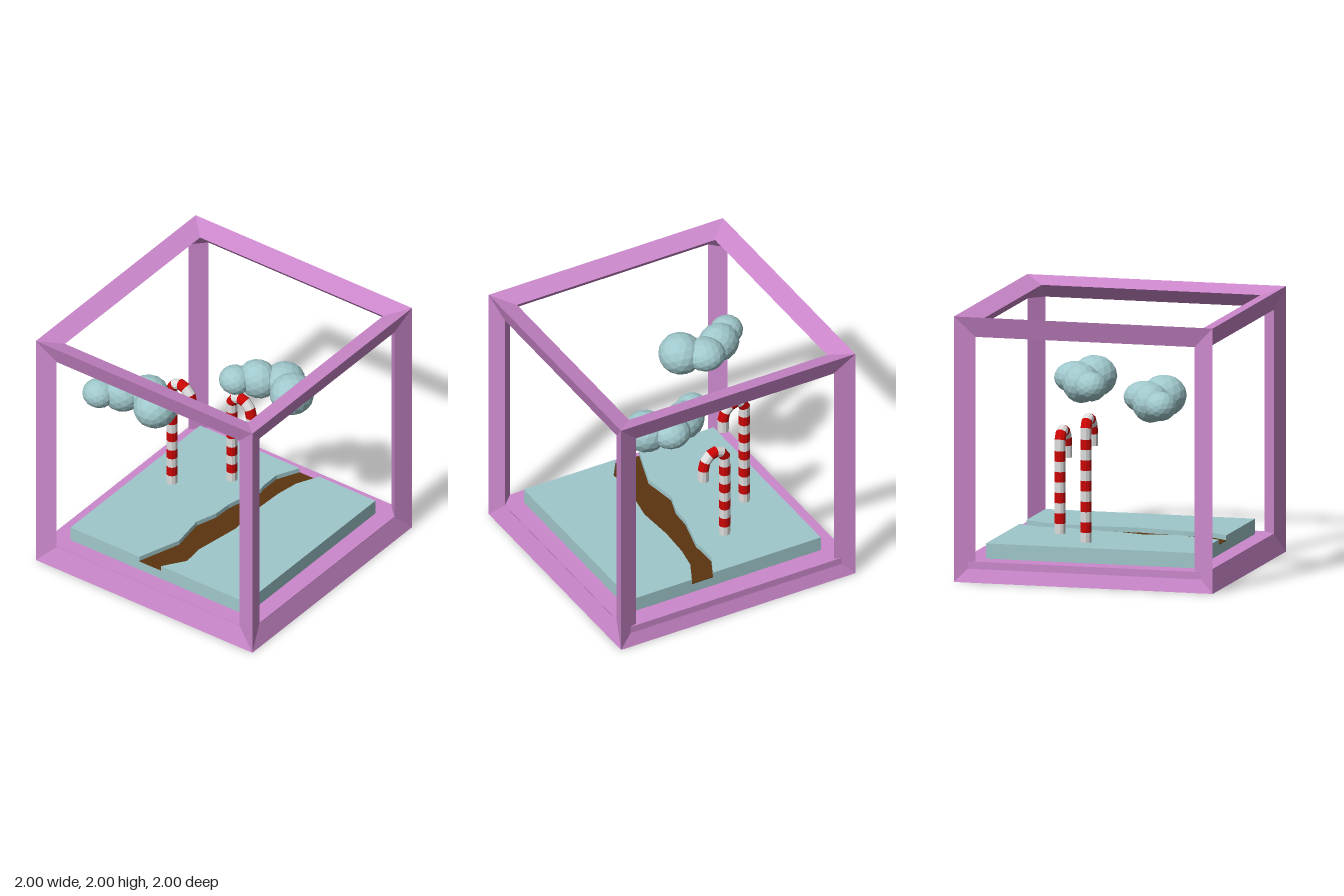
import * as THREE from 'three';

const mat = (name, color) => {
  const m = new THREE.MeshStandardMaterial({ color });
  m.name = name;
  return m;
};
const V = (x, y, z) => new THREE.Vector3(x, y, z);

// Flat-faced geometry from a list of triangles (three Vector3 each)
function fromTriangles(tris) {
  const g = new THREE.BufferGeometry().setFromPoints(tris.flat());
  g.computeVertexNormals();
  return g;
}

// Triangulates a convex face, turned so that it faces along the hint
function face(points, hint) {
  const n = points[1].clone().sub(points[0]).cross(points[2].clone().sub(points[0]));
  const p = n.dot(hint) < 0 ? [...points].reverse() : points;
  const out = [];
  for (let i = 1; i < p.length - 1; i++) out.push([p[0], p[i], p[i + 1]]);
  return out;
}

// Cube frame: twelve triangular beams with sloping outer faces
function frameGeometry() {
  const inner = 0.845, rim = 0.95, tris = [];
  const signs = [-1, 1];
  for (let a = 0; a < 3; a++) {
    const b = (a + 1) % 3, c = (a + 2) % 3;
    const at = (u, v, w) => V().set(0, 0, 0).setComponent(a, u).setComponent(b, v).setComponent(c, w);
    for (const s of signs) for (const t of signs) {
      const rail = (len, v, w) => [at(-len, s * v, t * w), at(len, s * v, t * w)];
      const [o0, o1] = rail(1, 1, 1);
      const [p0, p1] = rail(inner, rim, inner);
      const [q0, q1] = rail(inner, inner, rim);
      tris.push(...face([o0, o1, p1, p0], at(0, s, 0)));
      tris.push(...face([o0, o1, q1, q0], at(0, 0, t)));
      tris.push(...face([p0, p1, q1, q0], at(0, -s, -t)));
    }
  }
  // Inner corner triangles
  for (const x of signs) for (const y of signs) for (const z of signs) {
    tris.push(...face([
      V(x * rim, y * inner, z * inner),
      V(x * inner, y * rim, z * inner),
      V(x * inner, y * inner, z * rim),
    ], V(-x, -y, -z)));
  }
  return fromTriangles(tris);
}

// Horizontal slab with a given outline in x and z
function slab(outline, top, depth) {
  const shape = new THREE.Shape(outline.map(([x, z]) => new THREE.Vector2(x, z)));
  const g = new THREE.ExtrudeGeometry(shape, { depth, bevelEnabled: false });
  return g.rotateX(Math.PI / 2).translate(0, top, 0);
}

// Cane: rings swept along a hooked path, alternating white and red bands
function makeCane(springY, shaftBands, white, red) {
  const sides = 10, r = 0.043, path = [];
  const ground = 0.268 - springY;
  for (let i = 0; i < shaftBands; i++) path.push([0, ground * (1 - i / shaftBands)]);
  path.push([0, 0], [0.03, 0.048], [0.075, 0.065], [0.125, 0.05], [0.165, 0.005], [0.181, -0.062], [0.181, -0.155]);
  const pts = path.map(([z, y]) => V(0, springY + y, z));
  const rings = pts.map((p, i) => {
    const t = pts[Math.min(i + 1, pts.length - 1)].clone().sub(p).normalize();
    if (i > 0) {
      const before = p.clone().sub(pts[i - 1]).normalize();
      if (i === pts.length - 1) t.copy(before);
      else t.add(before).normalize();
    }
    const side = V(1, 0, 0), up = t.clone().cross(side);
    return Array.from({ length: sides }, (_, k) => {
      const a = (k / sides) * Math.PI * 2;
      return p.clone().addScaledVector(side, r * Math.cos(a)).addScaledVector(up, r * Math.sin(a));
    });
  });
  const bands = [[], []];
  for (let i = 0; i < rings.length - 1; i++) {
    const mid = pts[i].clone().add(pts[i + 1]).multiplyScalar(0.5);
    for (let k = 0; k < sides; k++) {
      const n = (k + 1) % sides;
      const quad = [rings[i][k], rings[i][n], rings[i + 1][n], rings[i + 1][k]];
      const hint = quad[0].clone().add(quad[2]).multiplyScalar(0.5).sub(mid);
      bands[i % 2].push(...face(quad, hint));
    }
  }
  // End caps are white
  const last = rings.length - 1;
  bands[0].push(...face(rings[0], V(0, -1, 0)), ...face(rings[last], V(0, -1, 0)));
  const g = new THREE.Group();
  [['whiteBands', white], ['redBands', red]].forEach(([name, m], i) => {
    const mesh = new THREE.Mesh(fromTriangles(bands[i]), m);
    mesh.name = name;
    g.add(mesh);
  });
  return g;
}

// Cloud: overlapping faceted puffs
function makeCloud(material) {
  const puffs = [ // x, y, z, then radii
    [0.31, 1.36, 0.40, 0.17, 0.157, 0.165],
    [0.42, 1.37, 0.25, 0.155, 0.12, 0.15],
    [0.32, 1.355, 0.08, 0.14, 0.148, 0.16],
    [0.21, 1.355, -0.05, 0.12, 0.11, 0.125],
  ];
  const g = new THREE.Group();
  puffs.forEach(([x, y, z, rx, ry, rz], i) => {
    const geo = new THREE.IcosahedronGeometry(1, 2);
    geo.rotateY(i * 0.8).scale(rx, ry, rz).translate(x, y, z);
    geo.computeVertexNormals();
    const mesh = new THREE.Mesh(geo, material);
    mesh.name = 'puff' + (i + 1);
    g.add(mesh);
  });
  return g;
}

export function createModel() {
  const model = new THREE.Group();
  const pink = mat('pink', 0xcc88cc), teal = mat('paleTeal', 0xa0c8cc);
  const brown = mat('brown', 0x5c3410), red = mat('red', 0xcc0505), white = mat('white', 0xdedede);
  const add = (name, geometry, material) => {
    const mesh = new THREE.Mesh(geometry, material);
    mesh.name = name;
    model.add(mesh);
  };
  const box = (x0, x1, y0, y1, z0, z1) => new THREE.BoxGeometry(x1 - x0, y1 - y0, z1 - z0)
    .translate((x0 + x1) / 2, (y0 + y1) / 2, (z0 + z1) / 2);

  // Frame and its floor
  add('cubeFrame', frameGeometry().translate(0, 1, 0), pink);
  add('floorPlate', box(-0.945, 0.968, 0.07, 0.155, -0.968, 0.945), pink);

  // Ground with a sunken river between two banks
  const x0 = -0.815, x1 = 0.805, z0 = -0.815, z1 = 0.805;
  const backShore = [[x0, -0.18], [-0.47, -0.065], [-0.2, -0.105], [-0.03, -0.05], [0.12, -0.045],
    [0.42, 0.03], [0.47, 0.02], [0.63, 0.02], [x1, 0.105]];
  const frontShore = [[x0, 0.02], [-0.645, 0.135], [-0.47, 0.12], [-0.1, 0.18], [0.2, 0.16],
    [0.45, 0.17], [0.63, 0.2], [x1, 0.285]];
  add('groundBase', box(x0, x1, 0.155, 0.23, z0, z1), teal);
  add('backBank', slab([[x0, z0], [x1, z0], ...[...backShore].reverse()], 0.27, 0.04), teal);
  add('frontBank', slab([...frontShore, [x1, z1], [x0, z1]], 0.27, 0.04), teal);
  add('river', slab([...backShore, ...[...frontShore].reverse()], 0.233, 0.005), brown);

  // Striped canes; band counts are odd so the bottom and top bands are white
  [[0.105, -0.558, 1.125, 11], [0.4, -0.223, 0.97, 9]].forEach(([x, z, springY, bands], i) => {
    const cane = makeCane(springY, bands, white, red);
    cane.name = i ? 'shortCane' : 'tallCane';
    cane.position.set(x, 0, z);
    model.add(cane);
  });

  // Two matching clouds
  [[0, 0], [-0.74, -0.715]].forEach(([x, z], i) => {
    const cloud = makeCloud(teal);
    cloud.name = i ? 'backCloud' : 'frontCloud';
    cloud.position.set(x, 0, z);
    model.add(cloud);
  });
  return model;
}
